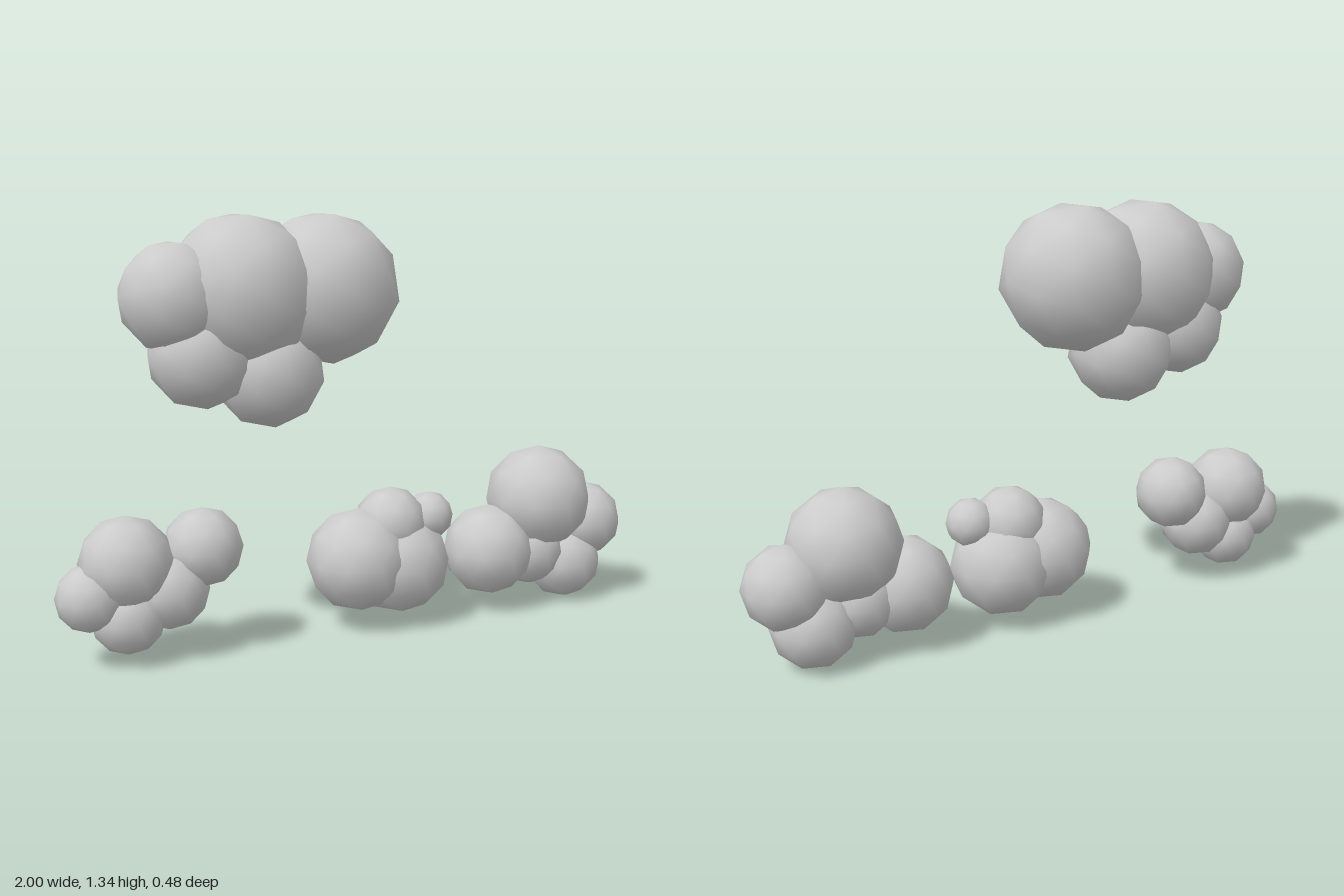
import * as THREE from 'three';

// Four flat clouds, each a cluster of overlapping low-poly puffs: [x, y, z, radius]
const CLOUDS = [
  {
    name: 'largeUpperCloud', turn: -Math.PI / 2,
    puffs: [
      [-0.133, 1.12, 0, 0.24], [-0.405, 1.12, 0, 0.24], [-0.617, 1.108, 0, 0.17],
      [-0.537, 0.932, 0, 0.165], [-0.32, 0.87, 0, 0.175],
    ],
  },
  {
    name: 'rightLowerCloud', turn: 0,
    puffs: [
      [-0.787, 0.32, 0, 0.145], [-0.544, 0.34, 0, 0.125], [-0.9, 0.225, 0, 0.105],
      [-0.785, 0.15, 0, 0.115], [-0.655, 0.22, 0, 0.125],
    ],
  },
  {
    name: 'middleLowerCloud', turn: 0,
    puffs: [
      [-0.013, 0.235, 0, 0.17], [0.135, 0.21, 0, 0.17],
      [0.105, 0.345, 0, 0.12], [0.238, 0.36, 0.02, 0.08],
    ],
  },
  {
    name: 'leftLowerCloud', turn: 0,
    puffs: [
      [0.68, 0.372, 0, 0.182], [0.87, 0.275, 0, 0.133], [0.787, 0.14, 0, 0.135],
      [0.482, 0.21, 0, 0.155], [0.64, 0.195, 0, 0.125],
    ],
  },
];

export function createModel() {
  const model = new THREE.Group();
  model.name = 'clouds';
  const cloudGrey = new THREE.MeshStandardMaterial({ color: 0xcccccc });
  cloudGrey.name = 'cloudGrey';

  // Smooth-shaded icosphere with one corner pointing straight up
  const puffShape = new THREE.IcosahedronGeometry(1, 1);
  puffShape.rotateZ(-Math.atan(2 / (1 + Math.sqrt(5))));

  for (const { name, turn, puffs } of CLOUDS) {
    const cloud = new THREE.Group();
    cloud.name = name;
    puffs.forEach(([x, y, z, radius], i) => {
      const puff = new THREE.Mesh(puffShape, cloudGrey);
      puff.name = `puff${i + 1}`;
      puff.position.set(x, y, z);
      puff.rotation.z = turn;
      puff.scale.setScalar(radius);
      cloud.add(puff);
    });
    model.add(cloud);
  }
  return model;
}
